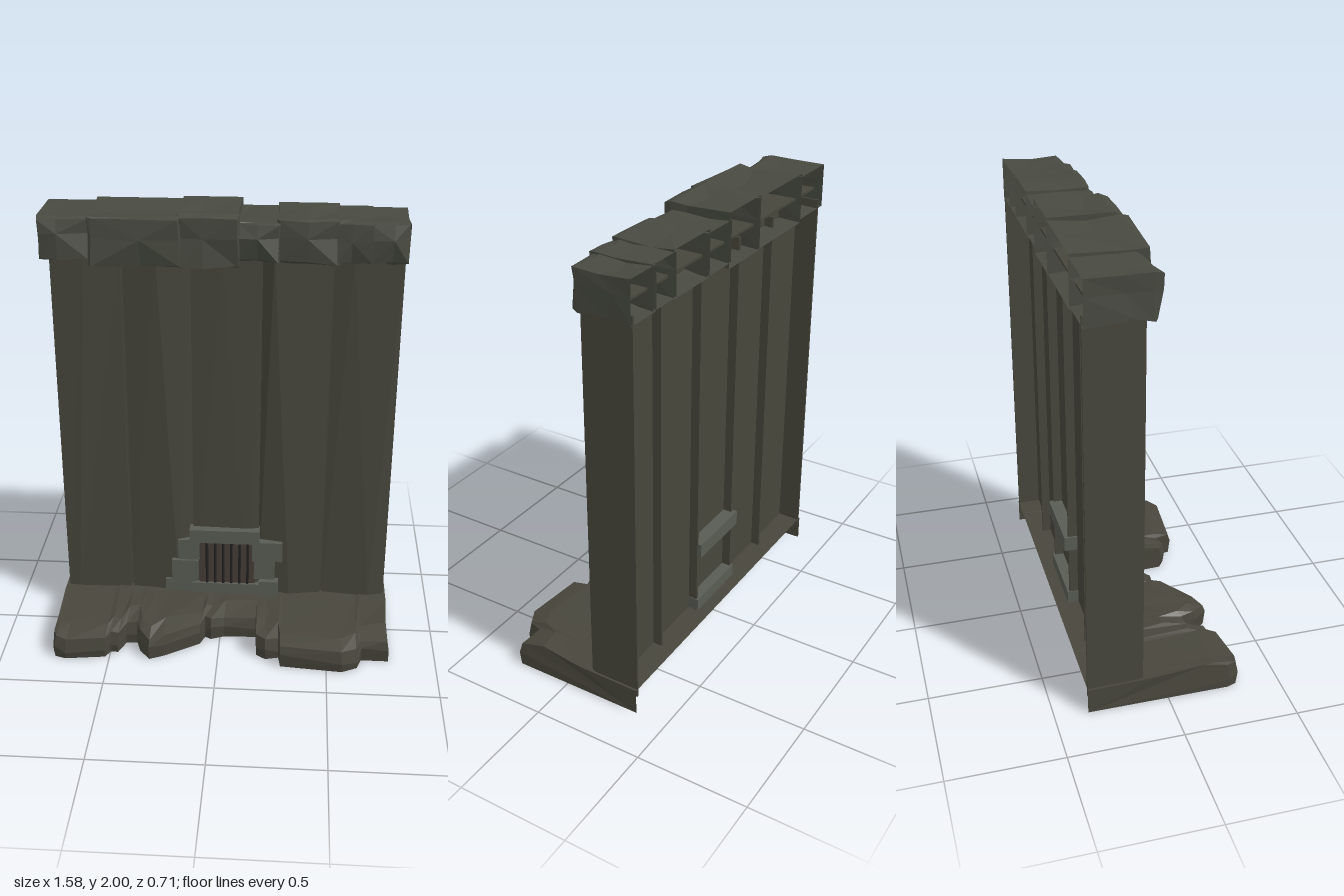
import * as THREE from 'three';

const mat = (color) => new THREE.MeshStandardMaterial({ color, flatShading: true, side: THREE.DoubleSide });

// Small seeded noise in -1..1
let seed = 7;
const rnd = () => {
  seed = (seed * 16807) % 2147483647;
  return (seed / 2147483647) * 2 - 1;
};

// Joins rows of points with quads; optional fans close the first and last row
function loft(rows, { closed = false, capStart = false, capEnd = false } = {}) {
  const out = [];
  const tri = (a, b, c) => out.push(...a, ...b, ...c);
  const fan = (row, flip) => {
    for (let i = 1; i < row.length - 1; i++) {
      if (flip) tri(row[0], row[i + 1], row[i]);
      else tri(row[0], row[i], row[i + 1]);
    }
  };
  for (let r = 0; r < rows.length - 1; r++) {
    const a = rows[r], b = rows[r + 1], n = a.length;
    for (let i = 0; i < (closed ? n : n - 1); i++) {
      const j = (i + 1) % n;
      tri(a[i], a[j], b[j]);
      tri(a[i], b[j], b[i]);
    }
  }
  if (capStart) fan(rows[0], true);
  if (capEnd) fan(rows[rows.length - 1], false);
  const g = new THREE.BufferGeometry();
  g.setAttribute('position', new THREE.Float32BufferAttribute(out, 3));
  g.computeVertexNormals();
  return g;
}

export function createModel() {
  seed = 7;
  const model = new THREE.Group();
  const wallMat = mat(0x47463c), rockMat = mat(0x484a41), baseMat = mat(0x48463c);
  const stoneMat = mat(0x585c53), ventMat = mat(0x463d36), barMat = mat(0x24221f);

  const add = (name, geo, material, parent = model) => {
    const m = new THREE.Mesh(geo, material);
    m.name = name;
    parent.add(m);
    return m;
  };
  const box = (name, x0, x1, y0, y1, z0, z1, material, parent) => {
    const m = add(name, new THREE.BoxGeometry(x1 - x0, y1 - y0, z1 - z0), material, parent);
    m.position.set((x0 + x1) / 2, (y0 + y1) / 2, (z0 + z1) / 2);
  };
  const group = (name) => {
    const g = new THREE.Group();
    g.name = name;
    model.add(g);
    return g;
  };

  // Wall slabs: x range, front z, crease x at the bottom and at the top, crease height
  const wall = group('wall');
  [
    [-0.75, -0.445, -0.11, -0.7, -0.6, 0.008],
    [-0.435, -0.14, -0.12, -0.21, -0.29, 0.03],
    [-0.14, 0.17, -0.1, 0.12, 0, 0.008],
    [0.17, 0.47, -0.12, 0.32, 0.22, 0.03],
    [0.478, 0.77, -0.125, 0.7, 0.56, 0.02],
  ].forEach(([x0, x1, zf, cb, ct, h]) => {
    const ring = (y, c) => [
      [x0, y, -0.25], [x0, y, zf], [c, y, zf + h], [x1, y, zf], [x1, y, -0.25],
    ];
    add('wallSlab', loft([ring(0.1, cb), ring(1.82, ct)], { closed: true, capStart: true, capEnd: true }), wallMat, wall);
  });
  // Ribs in the joints and the two return walls
  for (const x of [-0.44, -0.14, 0.17, 0.474]) {
    box('jointRib', x - 0.006, x + 0.006, 0.1, 1.82, -0.29, -0.135, wallMat, wall);
  }
  box('returnWallRight', -0.755, -0.745, 0.08, 1.82, -0.355, -0.13, wallMat, wall);
  box('returnWallLeft', 0.765, 0.775, 0.08, 1.82, -0.355, -0.14, wallMat, wall);
  box('footBoard', -0.75, 0.77, 0.01, 0.12, -0.25, -0.2, wallMat, wall);

  // Capping rocks: x range, y range, front z; hollow and open at the back
  const cap = group('cappingRocks');
  [
    [-0.79, -0.56, 1.78, 1.975, -0.06],
    [-0.575, -0.17, 1.765, 1.99, -0.022],
    [-0.19, 0.075, 1.76, 2.0, -0.045],
    [0.055, 0.245, 1.785, 1.965, -0.055],
    [0.225, 0.495, 1.78, 1.98, -0.06],
    [0.475, 0.64, 1.785, 1.97, -0.07],
    [0.615, 0.788, 1.78, 1.965, -0.08],
  ].forEach(([x0, x1, y0, y1, zf]) => {
    const cx = (x0 + x1) / 2 + rnd() * 0.03, cy = (y0 + y1) / 2 + rnd() * 0.03;
    const ring = (z, inset, j) => [[x0, y0], [cx, y0], [x1, y0], [x1, cy], [x1, y1], [cx, y1], [x0, y1], [x0, cy]]
      .map(([x, y]) => [
        x + (cx - x) * (inset + Math.abs(rnd()) * j * 0.5),
        y + (cy - y) * (inset + Math.abs(rnd()) * j),
        z + rnd() * j * 0.2,
      ]);
    const tip = Array(8).fill([cx, cy, zf]);
    add('capRock', loft([
      ring(-0.355, 0.02, 0), ring(-0.2 + rnd() * 0.04, 0, 0.2),
      ring(zf - 0.04, 0, 0.08), ring(zf - 0.012, 0.07, 0.1), tip,
    ], { closed: true }), rockMat, cap);
  });
  // Ledge inside the hollow cap
  box('capLedge', -0.75, 0.77, 1.865, 1.875, -0.33, -0.1, wallMat, cap);

  // Rocky base: front outline swept through bottom, side, rim, crown and floor
  const outline = [
    [-0.765, 0.28], [-0.75, 0.32], [-0.7, 0.335], [-0.52, 0.31], [-0.5, 0.27], [-0.465, 0.27], [-0.435, 0.195],
    [-0.385, 0.19], [-0.365, 0.25], [-0.315, 0.315], [-0.25, 0.285], [-0.09, 0.18], [-0.07, 0.125],
    [-0.04, 0.14], [0.02, 0.115], [0.17, 0.11], [0.176, 0.25], [0.22, 0.28], [0.28, 0.265],
    [0.29, 0.33], [0.57, 0.355], [0.64, 0.32], [0.66, 0.26], [0.785, 0.26],
  ];
  const sections = outline.map(([x, z]) => [
    [x, 0, -0.355], [x, 0, z - 0.008], [x, 0.055 + rnd() * 0.02, z],
    [x * 0.99, 0.108 + rnd() * 0.008, z - 0.012],
    [x * 0.985, 0.13 + rnd() * 0.008, z - 0.08 - Math.abs(rnd()) * 0.05],
    [x, 0.124 + rnd() * 0.004, -0.06], [x, 0.118, -0.355],
  ]);
  const base = group('rockyBase');
  add('baseShell', loft(sections.map((s) => s.slice(1))), baseMat, base);
  // End faces of the base
  for (const s of [sections[0], sections[sections.length - 1]]) {
    add('baseEnd', loft([s], { capEnd: true }), baseMat, base);
  }

  // Barred vent with a rough stone surround
  const vent = group('barredVent');
  [
    ['lintel', -0.155, 0.175, 0.412, 0.48, -0.31, -0.058],
    ['sill', -0.15, 0.18, 0.12, 0.178, -0.3, -0.075],
    ['surroundStone', -0.212, -0.11, 0.305, 0.412, -0.13, -0.08],
    ['surroundStone', -0.242, -0.118, 0.19, 0.305, -0.13, -0.07],
    ['surroundStone', -0.275, -0.14, 0.12, 0.19, -0.13, -0.085],
    ['surroundStone', 0.14, 0.285, 0.31, 0.412, -0.13, -0.075],
    ['surroundStone', 0.15, 0.25, 0.205, 0.31, -0.13, -0.085],
    ['surroundStone', 0.175, 0.268, 0.12, 0.205, -0.13, -0.06],
  ].forEach(([n, ...b]) => box(n, ...b, stoneMat, vent));
  box('ventBack', -0.112, 0.155, 0.175, 0.414, -0.12, -0.088, ventMat, vent);
  for (let i = 0; i < 6; i++) {
    const bar = add('ventBar', new THREE.CylinderGeometry(0.007, 0.007, 0.24, 6), barMat, vent);
    bar.position.set(-0.075 + i * 0.039, 0.295, -0.086);
  }
  return model;
}
